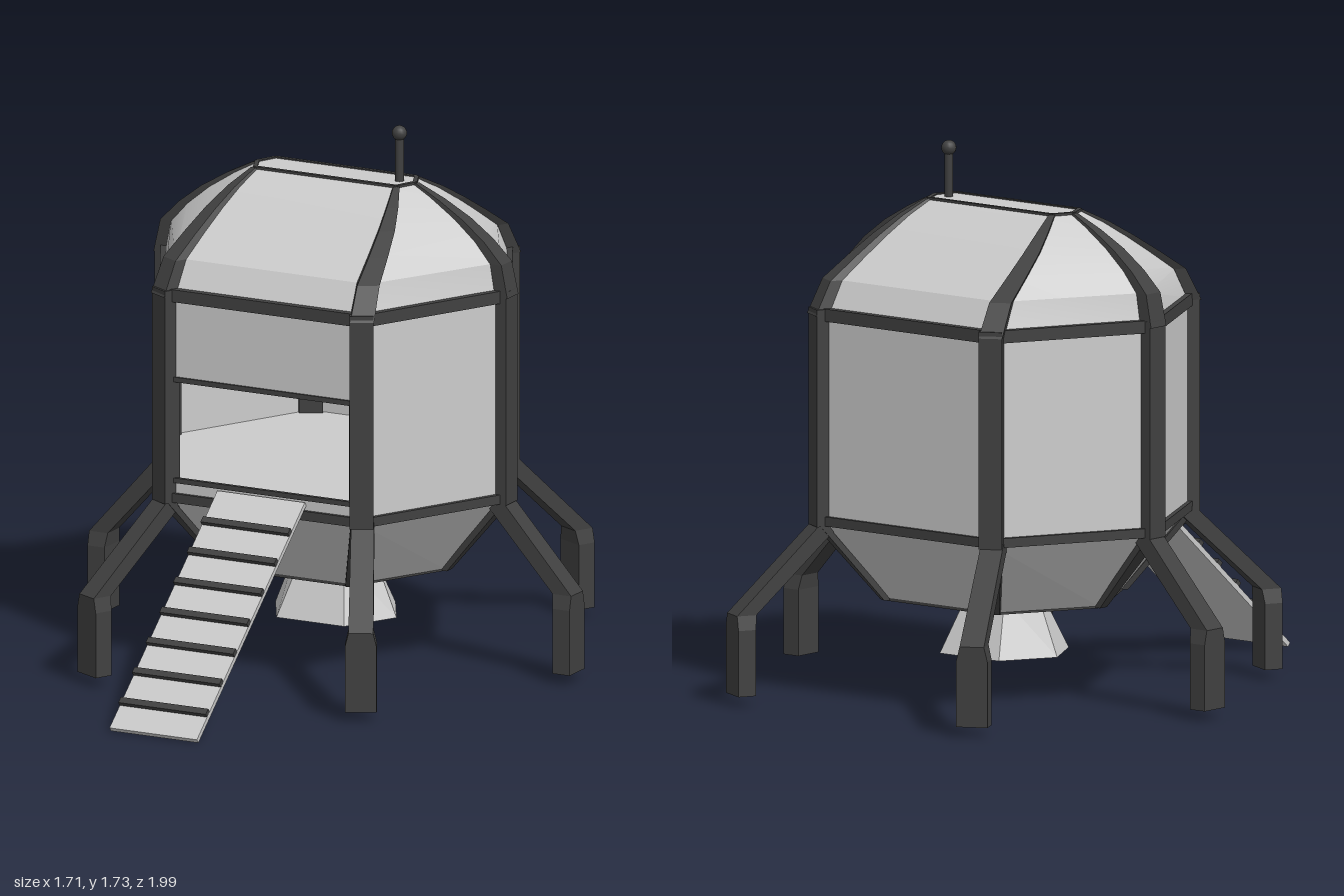
import * as THREE from 'three';
import { toCreasedNormals } from 'three/addons/utils/BufferGeometryUtils.js';

const grey = new THREE.MeshStandardMaterial({ color: 0xcccccc, side: THREE.DoubleSide });
const pale = new THREE.MeshStandardMaterial({ color: 0xeeeeee, side: THREE.DoubleSide });
const dark = new THREE.MeshStandardMaterial({ color: 0x404040 });

const V = (x, y, z) => new THREE.Vector3(x, y, z);

// Six-sided ring: side corners at x = +-a, front and back corners at (+-b, +-c)
const hex = (a, b, c, y) =>
  [[a, 0], [b, c], [-b, c], [-a, 0], [-b, -c], [b, -c]].map(([x, z]) => V(x, y, z));

// Flat-faced skin over rings listed bottom to top, optionally capped or with only some sides
function skin(rings, { caps = false, sides = null } = {}) {
  const pos = [];
  const tri = (...pts) => pts.forEach((p) => pos.push(p.x, p.y, p.z));
  const n = rings[0].length;
  for (let r = 0; r < rings.length - 1; r++) {
    for (let i = 0; i < n; i++) {
      if (sides && !sides.includes(i)) continue;
      const j = (i + 1) % n, lo = rings[r], up = rings[r + 1];
      tri(lo[i], up[i], up[j]);
      tri(lo[i], up[j], lo[j]);
    }
  }
  if (caps) {
    const lo = rings[0], up = rings[rings.length - 1];
    for (let i = 1; i < n - 1; i++) {
      tri(lo[0], lo[i], lo[i + 1]);
      tri(up[0], up[i + 1], up[i]);
    }
  }
  const g = new THREE.BufferGeometry();
  g.setAttribute('position', new THREE.Float32BufferAttribute(pos, 3));
  g.computeVertexNormals();
  return g;
}

// Beam through sections [x, y, z, width, depth], bottom to top, facing the angle given
function beam(sections, angle) {
  const out = V(Math.cos(angle), 0, Math.sin(angle));
  const tan = V(-out.z, 0, out.x);
  return skin(sections.map(([x, y, z, w, d]) =>
    [[1, -1], [1, 1], [-1, 1], [-1, -1]].map(([o, t]) =>
      V(x, y, z).addScaledVector(out, o * d / 2).addScaledVector(tan, t * w / 2))), { caps: true });
}

export function createModel() {
  const model = new THREE.Group();
  model.name = 'lander';
  const craft = new THREE.Group();
  craft.name = 'craft';
  craft.position.z = -0.22;
  model.add(craft);

  const add = (parent, name, geometry, material) => {
    const m = new THREE.Mesh(geometry, material);
    m.name = name;
    parent.add(m);
    return m;
  };
  // Horizontal bars along the edges of a ring
  const band = (name, ring, height, depth, edges = [0, 1, 2, 3, 4, 5]) => {
    for (const i of edges) {
      const p = ring[i], q = ring[(i + 1) % 6];
      const m = add(craft, name, new THREE.BoxGeometry(p.distanceTo(q), height, depth), dark);
      m.position.copy(p).add(q).multiplyScalar(0.5);
      m.rotation.y = -Math.atan2(q.z - p.z, q.x - p.x);
    }
  };
  const wallRing = (y) => hex(0.605, 0.352, 0.49, y);
  const wall = (name, y0, y1, sides, material = grey) =>
    add(craft, name, skin([wallRing(y0), wallRing(y1)], { sides }), material);

  // Cabin walls: closed sides, open doorway in front, pale strip at the back
  wall('sideWalls', 0.56, 1.22, [0, 2, 3, 5]);
  wall('doorHeader', 0.95, 1.22, [1]);
  wall('doorThreshold', 0.56, 0.62, [1]);
  wall('backWallLower', 0.56, 0.76, [4]);
  wall('backWindow', 0.76, 1.08, [4], pale);
  wall('backWallUpper', 1.08, 1.22, [4]);
  add(craft, 'cabinFloor', skin([wallRing(0.6), wallRing(0.615)], { caps: true }), grey);

  // Roof: curved hexagonal cap with a flat ridge
  const roofLevels = [
    [0.605, 0.352, 0.49, 1.22], [0.585, 0.343, 0.43, 1.325],
    [0.525, 0.325, 0.33, 1.39], [0.45, 0.305, 0.235, 1.45],
    [0.365, 0.28, 0.15, 1.502], [0.28, 0.25, 0.068, 1.545],
  ];
  const roofRings = roofLevels.map((l) => hex(...l));
  add(craft, 'roof', toCreasedNormals(skin(roofRings, { caps: true }), 0.4), grey);

  // Lower hull and its underside
  const hullTop = wallRing(0.56), hullBottom = hex(0.39, 0.22, 0.315, 0.305);
  add(craft, 'lowerHull', skin([hullBottom, hullTop], { caps: true }), grey);

  // Horizontal frame bands
  band('upperBand', hex(0.605, 0.352, 0.487, 1.222), 0.04, 0.03);
  band('lowerBand', hex(0.605, 0.352, 0.487, 0.567), 0.03, 0.03);
  band('doorLintel', wallRing(0.95), 0.016, 0.014, [1]);
  band('doorSill', wallRing(0.623), 0.016, 0.014, [1]);
  band('ridgeTrim', hex(0.28, 0.25, 0.068, 1.543), 0.012, 0.014);
  band('hullTrim', hex(0.385, 0.217, 0.312, 0.31), 0.014, 0.016);

  // Posts, roof ribs, hull struts and legs at each of the six corners
  for (let i = 0; i < 6; i++) {
    const sideCorner = i % 3 === 0;
    const sx = Math.sign(hullTop[i].x), sz = Math.sign(hullTop[i].z);
    const angle = sideCorner ? (sx > 0 ? 0 : Math.PI) : Math.atan2(0.87 * sz, 0.49 * sx);
    const at = (p, w, d) => [p.x, p.y, p.z, w, d];

    const post = wallRing(0)[i].multiplyScalar(0.985);
    add(craft, 'cornerPost', beam([0.55, 1.24].map((y) => [post.x, y, post.z, 0.075, 0.055]), angle), dark);

    const ribWidths = [0.075, 0.07, 0.06, 0.05, 0.036, 0.02];
    add(craft, 'roofRib', beam(roofRings.map((ring, k) =>
      at(ring[i], ribWidths[k], 0.045 - 0.005 * k)), angle), dark);

    add(craft, 'hullStrut', beam([at(hullBottom[i], 0.035, 0.025), at(hullTop[i], 0.07, 0.025)], angle), dark);

    const reach = sideCorner ? 0.235 : 0.28;
    const corner = hex(0.62, 0.36, 0.5, 0)[i];
    const legAngle = sideCorner ? angle : Math.atan2(0.89 * sz, 0.45 * sx);
    const legPath = [
      [reach - 0.03, 0.03, 0.1, 0.06], [reach - 0.03, 0.24, 0.1, 0.06],
      [reach - 0.033, 0.285, 0.078, 0.066], [-0.05, 0.565, 0.072, 0.072],
    ];
    add(craft, 'leg', beam(legPath.map(([r, y, w, d]) =>
      [corner.x + r * Math.cos(legAngle), y, corner.z + r * Math.sin(legAngle), w, d]), legAngle), dark);
  }

  // Open engine nozzle
  add(craft, 'nozzle', skin([hex(0.215, 0.12, 0.172, 0.127), hex(0.14, 0.075, 0.09, 0.31)]), grey);

  // Antenna on the ridge
  const mast = add(craft, 'antennaMast', new THREE.CylinderGeometry(0.014, 0.014, 0.17, 12), dark);
  mast.position.set(0.225, 1.62, 0);
  const tip = add(craft, 'antennaTip', new THREE.SphereGeometry(0.024, 16, 10), dark);
  tip.position.set(0.225, 1.7, 0);

  // Boarding ramp, built flat and tilted down to the ground
  const ramp = new THREE.Group();
  ramp.name = 'ramp';
  const run = 0.72, rise = 0.6, length = Math.hypot(run, rise);
  ramp.position.set(0, rise / 2 + 0.004, 0.275 + run / 2);
  ramp.rotation.x = Math.atan2(rise, run);
  add(ramp, 'rampPlate', new THREE.BoxGeometry(0.31, 0.016, length), grey);
  for (let i = 0; i < 7; i++) {
    const rung = add(ramp, 'rampRung', new THREE.BoxGeometry(0.31, 0.018, 0.022), dark);
    rung.position.set(0, 0.014, length / 2 - 0.1 - i * 0.119);
  }
  model.add(ramp);
  return model;
}
